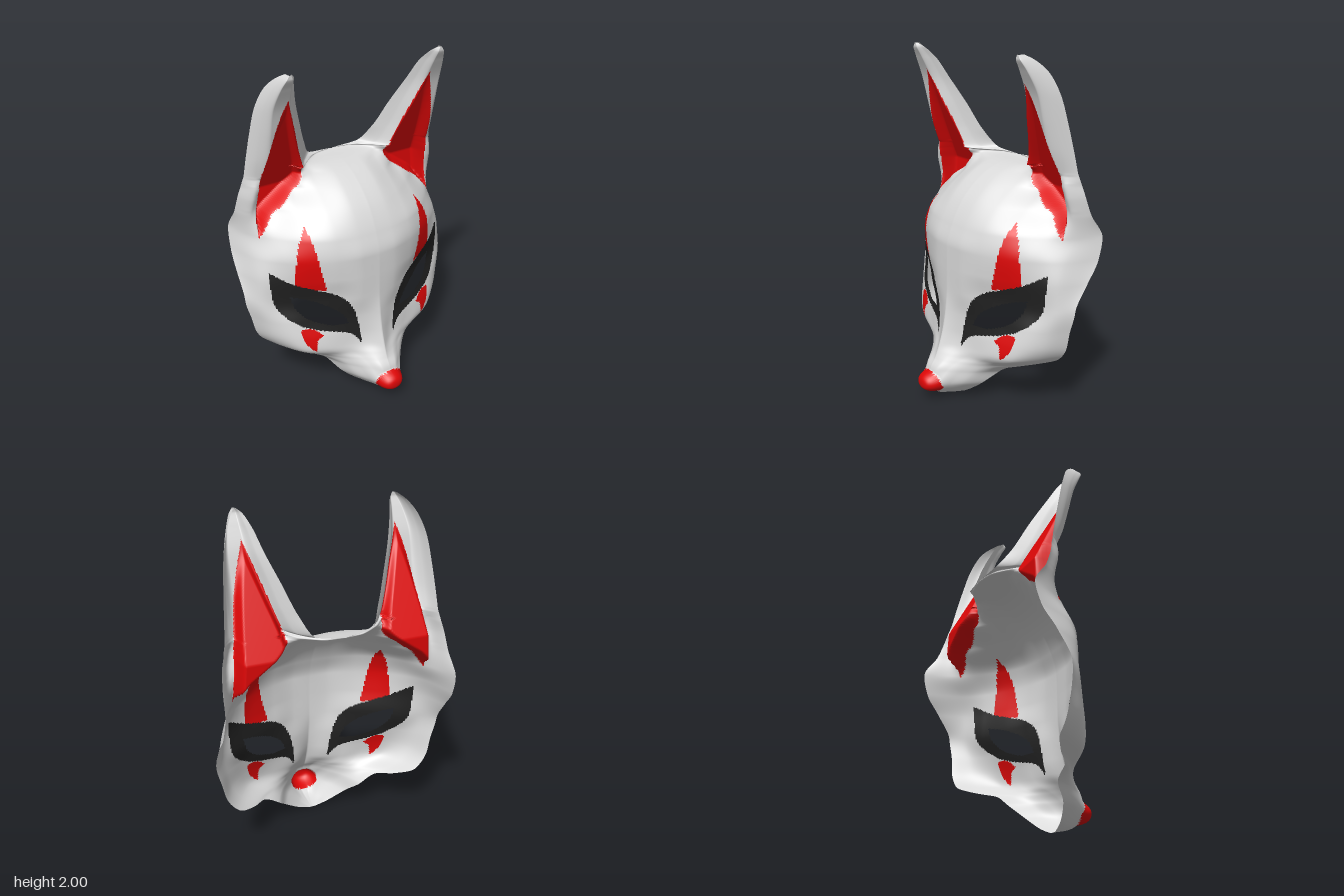
import * as THREE from 'three';

const white = new THREE.MeshStandardMaterial({ name: 'shell white', color: 0xdadada, side: THREE.DoubleSide });
const red = new THREE.MeshStandardMaterial({ name: 'paint red', color: 0xde0707, side: THREE.DoubleSide });
const black = new THREE.MeshStandardMaterial({ name: 'eye black', color: 0x202020, side: THREE.DoubleSide });

// Cross-sections run from the middle (or inner ear edge) to the outer edge at these fractions
const FRACTIONS = [0, 0.15, 0.35, 0.55, 0.75, 0.9, 1];

// Face: height, half width, then the depth at each fraction
const FACE = [
  [0, 0.02, 0.14, 0.14, 0.14, 0.14, 0.14, 0.14, 0.14],
  [0.03, 0.09, 0.25, 0.25, 0.23, 0.2, 0.17, 0.14, 0.125],
  [0.11, 0.196, 0.315, 0.315, 0.3, 0.235, 0.175, 0.12, 0.08],
  [0.2, 0.275, 0.3, 0.295, 0.25, 0.19, 0.125, 0.055, 0],
  [0.25, 0.354, 0.27, 0.255, 0.2, 0.145, 0.085, 0.035, -0.01],
  [0.285, 0.46, 0.255, 0.22, 0.16, 0.115, 0.06, -0.025, -0.1],
  [0.335, 0.566, 0.237, 0.18, 0.14, 0.11, 0.06, -0.05, -0.165],
  [0.42, 0.63, 0.212, 0.16, 0.125, 0.09, 0.04, -0.05, -0.165],
  [0.53, 0.657, 0.192, 0.155, 0.11, 0.06, 0.01, -0.06, -0.16],
  [0.66, 0.683, 0.18, 0.165, 0.11, 0.04, -0.03, -0.085, -0.17],
  [0.8, 0.683, 0.178, 0.17, 0.13, 0.06, -0.02, -0.1, -0.25],
  [0.92, 0.675, 0.175, 0.17, 0.135, 0.07, -0.025, -0.14, -0.335],
  [1.04, 0.667, 0.14, 0.135, 0.108, 0.04, -0.085, -0.21, -0.365],
  [1.17, 0.652, 0.068, 0.06, 0.01, -0.09, -0.19, -0.2, -0.29],
  [1.27, 0.64, -0.035, -0.045, -0.12, -0.205, -0.21, -0.175, -0.255],
  [1.33, 0.625, -0.14, -0.15, -0.205, -0.2, -0.175, -0.165, -0.24],
];
// Crown: the top of the head, where the ears begin to rise
const CROWN = [
  [1.355, 0.62, -0.225, -0.23, -0.235, -0.165, -0.155, -0.165, -0.232],
  [1.375, 0.615, -0.34, -0.33, -0.255, -0.145, -0.145, -0.165, -0.227],
];
// Ears: height, inner x, outer x, then depth at inner edge, crest and outer edge
const EARS = [
  [1.395, 0.155, 0.61, -0.32, -0.135, -0.222],
  [1.5, 0.225, 0.6, -0.25, -0.1, -0.2],
  [1.65, 0.285, 0.585, -0.18, -0.06, -0.165],
  [1.8, 0.345, 0.565, -0.1, -0.02, -0.125],
  [1.92, 0.385, 0.525, -0.03, 0.035, -0.07],
  [1.98, 0.415, 0.485, 0.03, 0.065, -0.005],
  [2, 0.44, 0.46, 0.055, 0.065, 0.03],
];
const lerp = THREE.MathUtils.lerp;
const SECTIONS = [
  ...[...FACE, ...CROWN].map(([y, outer, ...z]) => [y, 0, outer, ...z]),
  ...EARS.map(([y, inner, outer, a, c, b]) =>
    [y, inner, outer, a, lerp(a, c, 0.4), c, c, c, lerp(b, c, 0.6), b]),
];

// Monotone cubic through evenly indexed values
function smooth(values, t) {
  const n = values.length - 1;
  const i = Math.min(Math.floor(t), n - 1), f = t - i;
  const step = k => values[k + 1] - values[k];
  const slope = k => {
    if (k === 0) return step(0);
    if (k === n) return step(n - 1);
    const a = step(k - 1), b = step(k);
    return a * b > 0 ? 2 * a * b / (a + b) : 0;
  };
  const f2 = f * f, f3 = f2 * f;
  return values[i] * (2 * f3 - 3 * f2 + 1) + values[i + 1] * (3 * f2 - 2 * f3)
    + slope(i) * (f3 - 2 * f2 + f) + slope(i + 1) * (f3 - f2);
}

// Closed outline from several curved sides that meet at sharp corners
function outline(...sides) {
  return sides.flatMap(side => {
    const curve = new THREE.SplineCurve(side.map(([x, y]) => new THREE.Vector2(x, y)));
    return curve.getPoints(16).slice(0, -1);
  });
}
const EYE = outline(
  [[0.575, 0.86], [0.466, 0.785], [0.35, 0.738], [0.238, 0.69], [0.164, 0.61], [0.125, 0.49], [0.11, 0.33]],
  [[0.11, 0.33], [0.145, 0.395], [0.2, 0.43], [0.3, 0.455], [0.39, 0.485], [0.47, 0.53], [0.54, 0.605], [0.568, 0.7], [0.575, 0.86]]);
const EYE_HOLE = outline(
  [[0.478, 0.695], [0.4, 0.673], [0.32, 0.637], [0.245, 0.588], [0.198, 0.535], [0.178, 0.483]],
  [[0.178, 0.483], [0.26, 0.487], [0.34, 0.512], [0.42, 0.565], [0.46, 0.625], [0.478, 0.695]]);
const BROW = outline(
  [[0.365, 1.11], [0.35, 1], [0.325, 0.85], [0.296, 0.73]],
  [[0.296, 0.73], [0.38, 0.745], [0.455, 0.775]],
  [[0.455, 0.775], [0.445, 0.92], [0.415, 1.03], [0.365, 1.11]]);
const CHEEK = outline(
  [[0.45, 0.482], [0.385, 0.482], [0.325, 0.435]],
  [[0.325, 0.435], [0.363, 0.4], [0.373, 0.33]],
  [[0.373, 0.33], [0.42, 0.385], [0.45, 0.482]]);
const EAR = outline(
  [[0.434, 1.85], [0.386, 1.71], [0.333, 1.55], [0.29, 1.42], [0.27, 1.33]],
  [[0.27, 1.33], [0.307, 1.28], [0.41, 1.2], [0.49, 1.14], [0.575, 1.03]],
  [[0.575, 1.03], [0.555, 1.29], [0.525, 1.5], [0.485, 1.69], [0.434, 1.85]]);

function inside(poly, x, y) {
  let hit = false;
  poly.forEach((a, i) => {
    const b = poly[(i + 1) % poly.length];
    if ((a.y > y) !== (b.y > y) && x < a.x + (b.x - a.x) * (y - a.y) / (b.y - a.y)) hit = !hit;
  });
  return hit;
}
function edgeDistance(poly, x, y) {
  return Math.min(...poly.map((a, i) => {
    const b = poly[(i + 1) % poly.length], dx = b.x - a.x, dy = b.y - a.y;
    const t = THREE.MathUtils.clamp(((x - a.x) * dx + (y - a.y) * dy) / (dx * dx + dy * dy), 0, 1);
    return Math.hypot(x - a.x - t * dx, y - a.y - t * dy);
  }));
}
const noseRadius2 = (x, y) => (x / 0.085) ** 2 + ((y - 0.117) / 0.066) ** 2;

// Nose swelling and ear hollows on top of the plain surface
function sculpt(x, y, z) {
  const r2 = noseRadius2(x, y);
  if (r2 < 1) return lerp(0.368, z, r2 ** 1.4);
  if (y > 1 && inside(EAR, x, y)) {
    const floor = Math.max(-0.49 * (1.85 - y), -0.28);
    const blend = THREE.MathUtils.smoothstep(edgeDistance(EAR, x, y), 0, 0.035);
    return lerp(z, Math.min(z, floor), blend);
  }
  return z;
}

function partAt(x, y) {
  if (inside(EYE_HOLE, x, y)) return null;
  if (inside(EYE, x, y)) return 'eyeRim';
  if (noseRadius2(x, y) < 1) return 'nose';
  if (inside(BROW, x, y)) return 'browMark';
  if (inside(CHEEK, x, y)) return 'cheekMark';
  if (inside(EAR, x, y)) return 'innerEar';
  return 'shell';
}
const MATERIALS = { shell: white, eyeRim: black, nose: red, browMark: red, cheekMark: red, innerEar: red };

// One half of the mask; all its parts share the same smooth surface
function buildHalf(side) {
  const columns = 96, positions = [], all = [], parts = {};
  const rows = [];
  SECTIONS.slice(1).forEach((s, i) => {
    const n = Math.max(6, Math.ceil((s[0] - SECTIONS[i][0]) / 0.007));
    for (let k = 0; k < n; k++) rows.push(i + k / n);
  });
  rows.push(SECTIONS.length - 1);
  for (const v of rows) {
    const [y, inner, outer, ...depths] = SECTIONS[0].map((_, c) => smooth(SECTIONS.map(s => s[c]), v));
    for (let i = 0; i <= columns; i++) {
      const t = i / columns * (FRACTIONS.length - 1);
      const x = lerp(inner, outer, smooth(FRACTIONS, t));
      positions.push(side * x, y, sculpt(x, y, smooth(depths, t)));
    }
  }
  for (let j = 0; j < rows.length - 1; j++) {
    for (let i = 0; i < columns; i++) {
      const a = j * (columns + 1) + i, b = a + 1, d = a + columns + 1, c = d + 1;
      const quad = side > 0 ? [a, b, c, a, c, d] : [a, c, b, a, d, c];
      all.push(...quad);
      const mean = k => [a, b, c, d].reduce((sum, p) => sum + positions[p * 3 + k], 0) / 4;
      const part = partAt(Math.abs(mean(0)), mean(1));
      if (part) (parts[part] ??= []).push(...quad);
    }
  }
  const surface = new THREE.BufferGeometry();
  surface.setAttribute('position', new THREE.Float32BufferAttribute(positions, 3));
  surface.setIndex(all);
  surface.computeVertexNormals();
  // Keep the middle seam smooth
  const normal = surface.attributes.normal;
  for (let p = 0; p < normal.count; p++) {
    if (Math.abs(positions[p * 3]) < 1e-6) {
      const n = new THREE.Vector3(0, normal.getY(p), normal.getZ(p)).normalize();
      normal.setXYZ(p, n.x, n.y, n.z);
    }
  }
  const half = new THREE.Group();
  half.name = side > 0 ? 'leftHalf' : 'rightHalf';
  for (const [name, index] of Object.entries(parts)) {
    const geometry = surface.clone().setIndex(index);
    const mesh = new THREE.Mesh(geometry, MATERIALS[name]);
    mesh.name = name;
    half.add(mesh);
  }
  return half;
}

export function createModel() {
  const mask = new THREE.Group();
  mask.name = 'foxMask';
  mask.add(buildHalf(1), buildHalf(-1));
  return mask;
}
